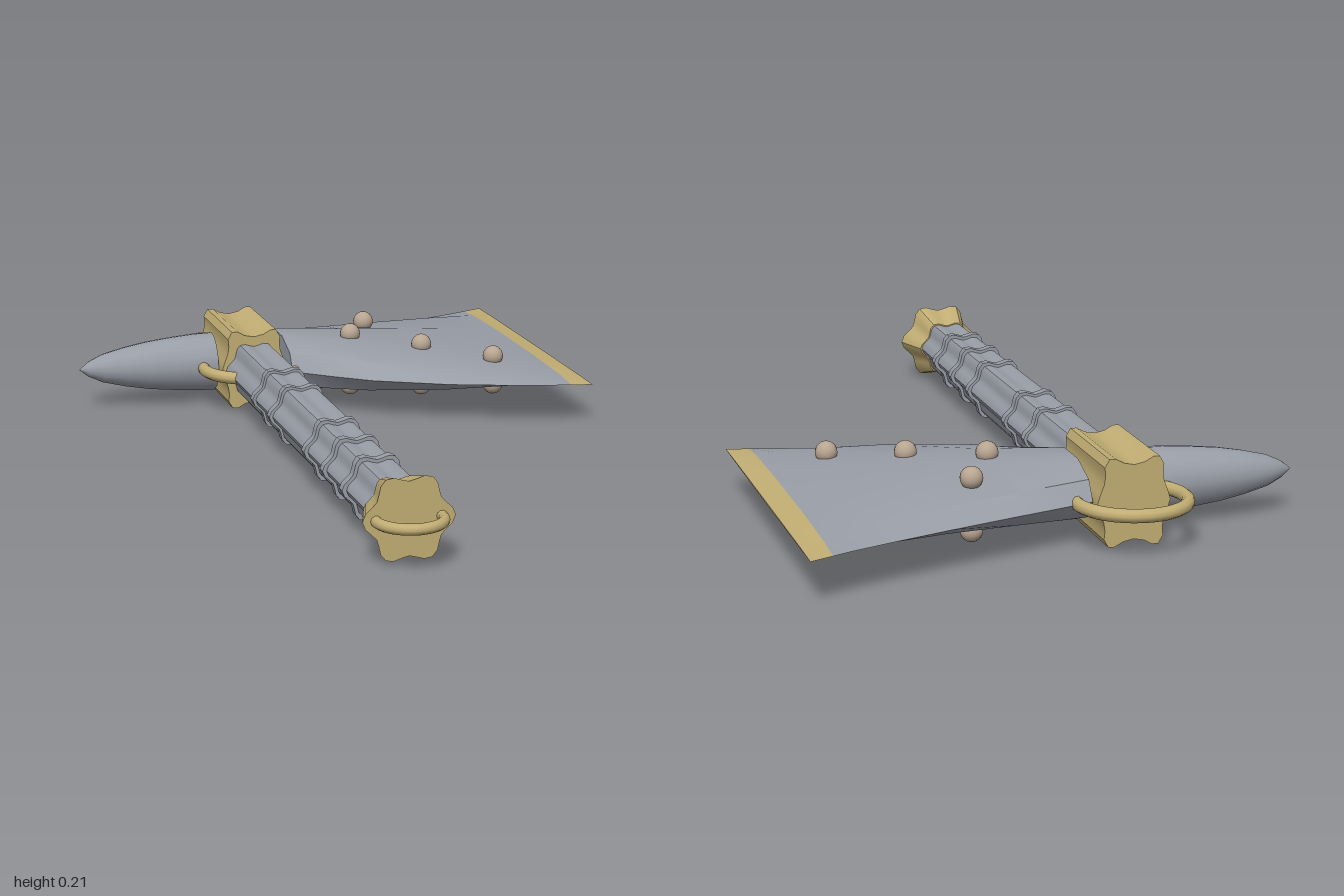
import * as THREE from 'three';
import { toCreasedNormals, mergeVertices } from 'three/addons/utils/BufferGeometryUtils.js';

const AX = -0.18, AY = 0.107; // handle axis

export function createModel() {
  const root = new THREE.Group();
  const material = (name, color) => {
    const m = new THREE.MeshStandardMaterial({ color });
    m.name = name;
    return m;
  };
  const steel = material('steel', 0x999da6);
  const gold = material('gold', 0xc2ae74);
  const bronze = material('rivet bronze', 0xb8a592);

  function add(name, geometry, mat, x = 0, y = 0, z = 0) {
    const mesh = new THREE.Mesh(geometry, mat);
    mesh.name = name;
    mesh.position.set(x, y, z);
    root.add(mesh);
    return mesh;
  }

  // Skin over equal-length rings, closed at both ends
  function loft(rings, crease = 0.5) {
    const n = rings[0].length, pos = [], idx = [];
    rings.forEach(r => r.forEach(p => pos.push(p.x, p.y, p.z)));
    for (let i = 0; i < rings.length - 1; i++) {
      for (let j = 0; j < n; j++) {
        const k = (j + 1) % n;
        const a = i * n + j, b = i * n + k, c = b + n, d = a + n;
        idx.push(a, b, c, a, c, d);
      }
    }
    [0, rings.length - 1].forEach((i, end) => {
      const center = new THREE.Vector3();
      rings[i].forEach(p => center.addScaledVector(p, 1 / n));
      const m = pos.length / 3;
      pos.push(center.x, center.y, center.z);
      for (let j = 0; j < n; j++) {
        const a = i * n + j, b = i * n + (j + 1) % n;
        if (end) idx.push(m, a, b); else idx.push(m, b, a);
      }
    });
    const g = new THREE.BufferGeometry();
    g.setAttribute('position', new THREE.Float32BufferAttribute(pos, 3));
    g.setIndex(idx);
    return toCreasedNormals(g, crease);
  }

  // Six-lobed outline around the handle axis
  function lobes(radius, z, dip = 0.1) {
    return Array.from({ length: 36 }, (_, i) => {
      const t = i / 36 * Math.PI * 2;
      const r = radius * (1 - dip + dip * Math.cos(6 * t));
      return new THREE.Vector3(AX + r * Math.cos(t), AY + r * Math.sin(t), z);
    });
  }

  // Handle with raised bands
  add('handle', loft([lobes(0.077, -0.5), lobes(0.073, 0.83)]), steel);
  for (const z of [-0.18, -0.01, 0.32, 0.485, 0.65]) {
    add('handleBand', loft([lobes(0.084, z - 0.012), lobes(0.084, z + 0.012)]), steel);
  }

  // Flared pommel
  add('pommel', loft([lobes(0.077, 0.81), lobes(0.107, 0.905)]), gold);

  // Head collar: narrower across, with four tall corner lobes
  const quarter = [[0.0875, 0], [0.081, 0.022], [0.072, 0.045], [0.069, 0.065], [0.071, 0.085],
    [0.06, 0.104], [0.045, 0.104], [0.025, 0.093], [0, 0.088]];
  const half = [...quarter, ...quarter.slice(0, -1).reverse().map(([x, y]) => [-x, y])];
  const outline = [...half, ...half.slice(1, -1).reverse().map(([x, y]) => [x, -y])];
  const collarRing = z => outline.map(([x, y]) => new THREE.Vector3(AX + x, AY + y, z));
  add('collar', loft([collarRing(-0.77), collarRing(-0.485)], 0.6), gold);

  // Flat-lying rings at the head and pommel
  for (const [name, z, r, tube] of [
    ['headRing', -0.752, 0.129, 0.016], ['headRing', -0.51, 0.129, 0.016], ['pommelRing', 0.909, 0.076, 0.013],
  ]) {
    add(name, new THREE.TorusGeometry(r, tube, 10, 40).rotateX(Math.PI / 2), gold, AX, AY, z);
  }

  // Back spike
  const profile = [[0.078, 0], [0.077, 0.05], [0.072, 0.11], [0.064, 0.18], [0.053, 0.24],
    [0.038, 0.3], [0.02, 0.338], [0, 0.363]].map(p => new THREE.Vector2(...p));
  const spike = new THREE.LatheGeometry(profile, 16).rotateZ(Math.PI / 2);
  add('spike', spike, steel, -0.267, AY, -0.605);
  add('spikeBase', new THREE.CircleGeometry(0.078, 16).rotateY(Math.PI / 2), steel, -0.267, AY, -0.605);

  // Blade cross-sections: x, back z, front z, half thickness
  const sections = [
    [-0.09, -0.745, -0.425, 0.076], [0.0, -0.775, -0.345, 0.071], [0.09, -0.803, -0.272, 0.065],
    [0.27, -0.862, -0.178, 0.051], [0.42, -0.915, -0.125, 0.035], [0.52, -0.953, -0.097, 0.02],
    [0.57, -0.975, -0.085, 0.012], [0.625, -1.0, -0.074, 0.002],
  ];
  const rings = sections.map(([x, z0, z1, h]) => Array.from({ length: 10 }, (_, i) => {
    const t = i / 10 * Math.PI * 2;
    return new THREE.Vector3(x, AY - h * Math.sin(t), (z0 + z1) / 2 + (z1 - z0) / 2 * Math.cos(t));
  }));
  add('blade', loft(rings.slice(0, 7)), steel);
  add('bladeEdge', loft(rings.slice(6)), gold);

  // Rivets on both blade faces
  for (const [x, z, h] of [[0.095, -0.52, 0.071], [0.18, -0.685, 0.062], [0.262, -0.41, 0.056], [0.427, -0.3, 0.038]]) {
    for (const side of [1, -1]) {
      add('rivet', new THREE.SphereGeometry(0.027, 16, 12), bronze, x, AY + side * h, z);
    }
  }

  return root;
}
